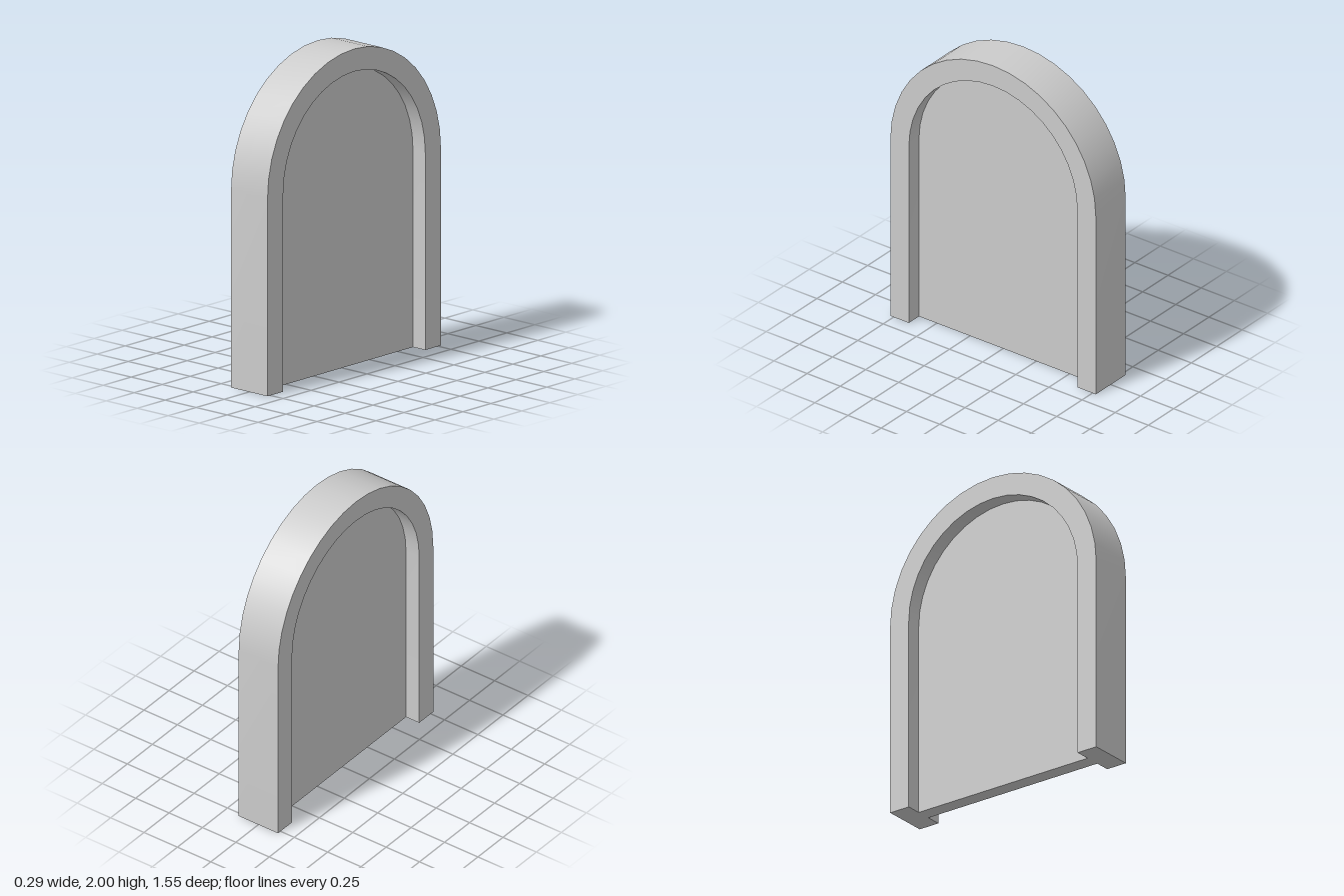
import * as THREE from 'three';
import { toCreasedNormals } from 'three/addons/utils/BufferGeometryUtils.js';

const SPRING = 1.225;     // height where the arch starts
const OUTER = 0.775;      // outer radius, half the overall width
const INNER = 0.635;      // radius of the recessed panel
const DEPTH = 0.294;      // frame depth along x
const PANEL_DEPTH = 0.096;

// Extrude an upright outline along x, centred, with a smooth arch and sharp edges
function extrudeAlongX(shape, depth, name) {
  let geometry = new THREE.ExtrudeGeometry(shape, { depth, bevelEnabled: false, curveSegments: 10 });
  geometry.translate(0, 0, -depth / 2);
  geometry.rotateY(Math.PI / 2);
  geometry = toCreasedNormals(geometry, 0.5);
  const mesh = new THREE.Mesh(geometry, new THREE.MeshStandardMaterial({ color: 0xcccccc }));
  mesh.name = name;
  return mesh;
}

export function createModel() {
  const model = new THREE.Group();
  model.name = 'archedPanel';

  // Arched frame, open at the bottom
  const frame = new THREE.Shape();
  frame.moveTo(OUTER, 0);
  frame.lineTo(OUTER, SPRING);
  frame.absarc(0, SPRING, OUTER, 0, Math.PI, false);
  frame.lineTo(-OUTER, 0);
  frame.lineTo(-INNER, 0);
  frame.lineTo(-INNER, SPRING);
  frame.absarc(0, SPRING, INNER, Math.PI, 0, true);
  frame.lineTo(INNER, 0);
  frame.closePath();
  model.add(extrudeAlongX(frame, DEPTH, 'archFrame'));

  // Thin panel set halfway through the frame
  const panel = new THREE.Shape();
  panel.moveTo(INNER, 0);
  panel.lineTo(INNER, SPRING);
  panel.absarc(0, SPRING, INNER, 0, Math.PI, false);
  panel.lineTo(-INNER, 0);
  panel.closePath();
  model.add(extrudeAlongX(panel, PANEL_DEPTH, 'recessedPanel'));

  return model;
}
